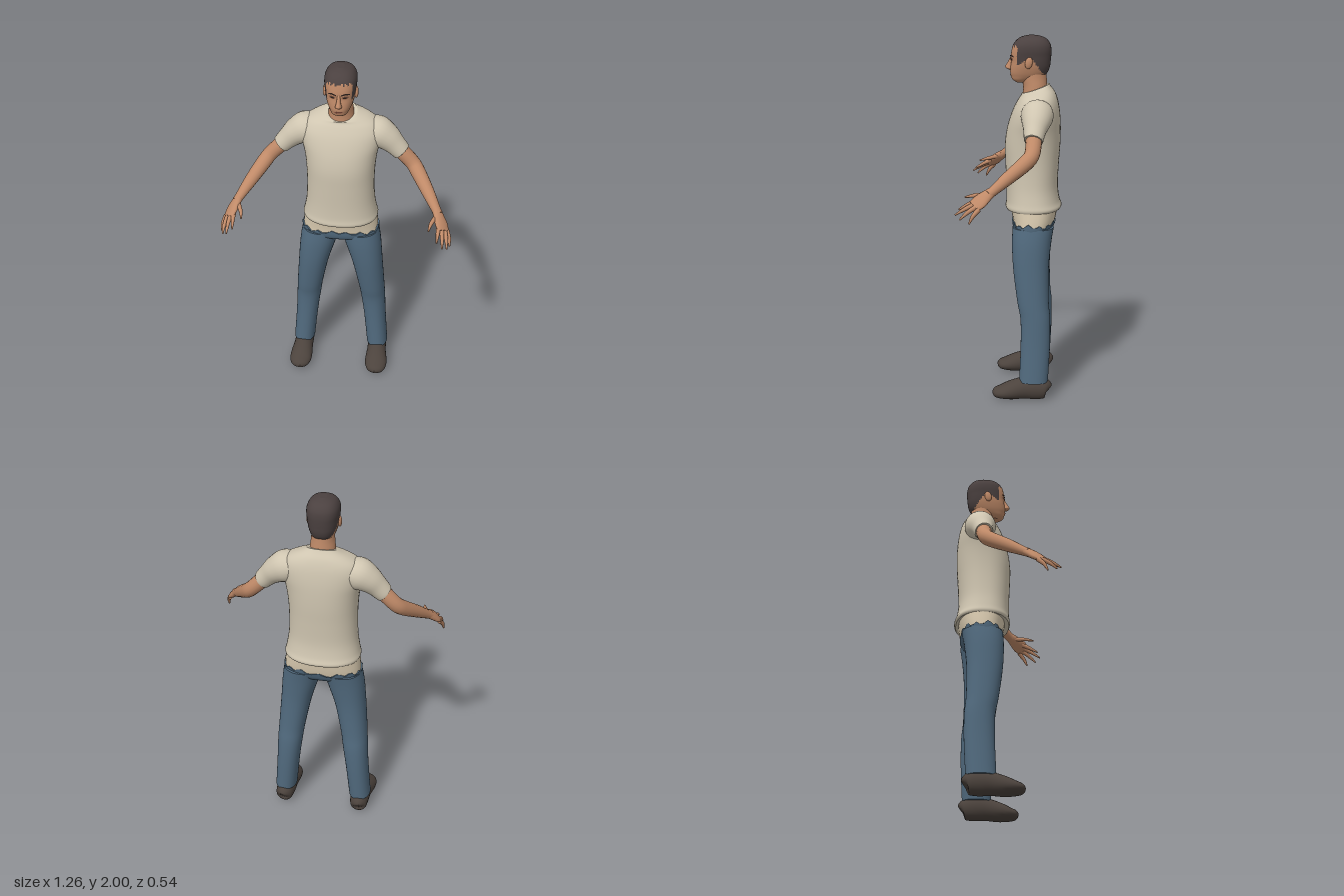
import * as THREE from 'three';

const mat = (name, color) => Object.assign(new THREE.MeshStandardMaterial({ color }), { name });

// Catmull-Rom subdivision of rows of numbers
function refine(rows, k) {
  const out = [];
  const at = i => rows[Math.min(rows.length - 1, Math.max(0, i))];
  for (let i = 0; i < rows.length - 1; i++)
    for (let s = 0; s < k; s++) {
      const t = s / k;
      out.push(at(i).map((b, c) => {
        const a = at(i - 1)[c], d = at(i + 1)[c], e = at(i + 2)[c];
        return b + 0.5 * t * (d - a + t * (2 * a - 5 * b + 4 * d - e + t * (3 * (b - d) + e - a)));
      }));
    }
  out.push(rows[rows.length - 1]);
  return out;
}

// Skin a list of closed rings; pick(centre) chooses a material slot per quad
function skin(rings, pick) {
  const n = rings[0].length, pos = [], slots = [[], []];
  rings.forEach(r => r.forEach(p => pos.push(p.x, p.y, p.z)));
  for (let i = 0; i < rings.length - 1; i++)
    for (let j = 0; j < n; j++) {
      const k = (j + 1) % n, a = i * n + j, b = i * n + k, c = b + n, d = a + n;
      const mid = rings[i][j].clone().add(rings[i + 1][k]).multiplyScalar(0.5);
      slots[pick ? pick(mid, j) : 0].push(a, b, c, a, c, d);
    }
  [rings[0], rings[rings.length - 1]].forEach((r, end) => {
    const base = pos.length / 3, m = new THREE.Vector3();
    r.forEach(p => { pos.push(p.x, p.y, p.z); m.addScaledVector(p, 1 / n); });
    pos.push(m.x, m.y, m.z);
    const list = slots[pick ? pick(m, 0) : 0];
    for (let j = 0; j < n; j++) {
      const k = (j + 1) % n;
      if (end) list.push(base + n, base + j, base + k);
      else list.push(base + n, base + k, base + j);
    }
  });
  const g = new THREE.BufferGeometry();
  g.setAttribute('position', new THREE.Float32BufferAttribute(pos, 3));
  g.setIndex([...slots[0], ...slots[1]]);
  if (pick) {
    g.addGroup(0, slots[0].length, 0);
    g.addGroup(slots[0].length, slots[1].length, 1);
  }
  g.computeVertexNormals();
  return g;
}

const pw = (v, e) => Math.sign(v) * Math.abs(v) ** (2 / e);

// Upright loft; rows are [y, centre x, front z, back z, half width, front dip]
function stack(rows, { n = 36, e = 2, k = 4, jag, pick } = {}) {
  const fine = refine(rows, k);
  return skin(fine.map(([y, cx, f, b, w, dip = 0], i) => Array.from({ length: n }, (_, j) => {
    const a = j / n * Math.PI * 2, c = pw(Math.cos(a), e);
    const lift = jag && i === fine.length - 1 ? jag(j) : 0;
    return new THREE.Vector3(cx + w * pw(Math.sin(a), e), y - dip * c + lift, (f + b) / 2 + (f - b) / 2 * c);
  })), pick);
}

// Limb along a path; rows are [x, y, z, radius across, radius along ref]
function limb(rows, ref, n = 16, k = 4) {
  const fine = refine(rows, k), P = fine.map(r => new THREE.Vector3(r[0], r[1], r[2]));
  return skin(fine.map((r, i) => {
    const t = P[Math.min(i + 1, P.length - 1)].clone().sub(P[Math.max(i - 1, 0)]).normalize();
    const v = new THREE.Vector3(...ref).addScaledVector(t, -t.dot(new THREE.Vector3(...ref))).normalize();
    const u = t.clone().cross(v);
    return Array.from({ length: n }, (_, j) => {
      const a = j / n * Math.PI * 2;
      return P[i].clone().addScaledVector(u, r[3] * Math.sin(a)).addScaledVector(v, r[4] * Math.cos(a));
    });
  }));
}

function mirrored(g) {
  const m = g.clone().scale(-1, 1, 1), ix = m.index.array;
  for (let i = 0; i < ix.length; i += 3) [ix[i], ix[i + 1]] = [ix[i + 1], ix[i]];
  m.computeVertexNormals();
  return m;
}

export function createModel() {
  const root = new THREE.Group();
  root.name = 'standingMan';
  const skinTone = mat('skin', 0xc08a68), hair = mat('hair', 0x4b4140), shirt = mat('shirt', 0xd0c6b1);
  const under = mat('undershirt', 0xdccdb2), denim = mat('denim', 0x516a7e), leather = mat('shoeLeather', 0x4c433d);
  const dark = mat('browAndEye', 0x2b1f1b), lip = mat('lip', 0x7d4a3b), lid = mat('eyelid', 0x8c5f48);
  const add = (name, g, m) => {
    const mesh = new THREE.Mesh(g, m);
    mesh.name = name;
    root.add(mesh);
  };
  const pair = (name, g, m) => { add(name + 'Left', g, m); add(name + 'Right', mirrored(g), m); };

  // Head with short hair, divided along a ragged hairline
  const headRows = [
    [1.745, 0, -0.02, -0.08, 0.028], [1.76, 0, 0.004, -0.11, 0.044], [1.78, 0, 0.012, -0.165, 0.057],
    [1.8, 0, 0.016, -0.188, 0.066], [1.83, 0, 0.014, -0.2, 0.075], [1.86, 0, 0.01, -0.204, 0.08],
    [1.89, 0, 0.012, -0.207, 0.083], [1.92, 0, 0.008, -0.208, 0.086], [1.95, 0, 0, -0.203, 0.083],
    [1.975, 0, -0.02, -0.187, 0.07], [1.99, 0, -0.042, -0.165, 0.05], [2, 0, -0.075, -0.13, 0.018]];
  const isHair = (p, j) => {
    const line = p.z > -0.025 ? 1.943 + 0.008 * Math.sin(j * 2.3)
      : p.z > -0.1 ? 1.835 - 0.55 * (p.z + 0.01)
        : Math.max(1.885 + 1.35 * (p.z + 0.1), 1.782);
    return p.y > line ? 1 : 0;
  };
  add('head', stack(headRows, { n: 64, e: 2.4, pick: isHair }), [skinTone, hair]);
  add('neck', stack([[1.64, 0, -0.05, -0.19, 0.075], [1.72, 0, -0.055, -0.187, 0.068],
    [1.77, 0, -0.045, -0.183, 0.062], [1.82, 0, -0.05, -0.18, 0.06]]), skinTone);
  add('nose', stack([[1.812, 0, 0.022, 0, 0.01], [1.822, 0, 0.04, 0, 0.018], [1.833, 0, 0.043, 0, 0.015],
    [1.855, 0, 0.029, 0, 0.01], [1.885, 0, 0.014, 0, 0.008]], { n: 16 }), skinTone);
  const ear = new THREE.SphereGeometry(1, 16, 12).scale(0.011, 0.032, 0.02).rotateX(-0.2).translate(0.083, 1.857, -0.088);
  pair('ear', ear, skinTone);

  // Facial details as thin faces laid on the curve of the head
  const fine = refine(headRows, 4);
  const faceZ = (x, y) => {
    const r = fine.reduce((a, b) => Math.abs(b[0] - y) < Math.abs(a[0] - y) ? b : a);
    return (r[2] + r[3]) / 2 + (r[2] - r[3]) / 2 * (1 - Math.abs(x / r[4]) ** 2.4) ** (1 / 2.4);
  };
  const patch = (pts, lift) => {
    const g = new THREE.ShapeGeometry(new THREE.Shape(pts.map(p => new THREE.Vector2(...p))));
    const p = g.attributes.position;
    for (let i = 0; i < p.count; i++) p.setZ(i, faceZ(p.getX(i), p.getY(i)) + lift);
    g.computeVertexNormals();
    return g;
  };
  const oval = (cx, cy, a, b) => Array.from({ length: 12 }, (_, i) =>
    [cx + a * Math.cos(i * Math.PI / 6), cy + b * Math.sin(i * Math.PI / 6)]);
  pair('eyelid', patch(oval(0.034, 1.873, 0.018, 0.01), 0.003), lid);
  pair('eye', patch(oval(0.034, 1.873, 0.012, 0.005), 0.005), dark);
  pair('eyebrow', patch([[0.013, 1.884], [0.035, 1.889], [0.058, 1.884], [0.056, 1.891], [0.036, 1.898], [0.014, 1.892]], 0.004), dark);
  add('mouth', patch([[-0.027, 1.786], [-0.012, 1.781], [0, 1.78], [0.012, 1.781], [0.027, 1.786], [0.01, 1.793], [0, 1.791], [-0.01, 1.793]], 0.003), lip);

  // T-shirt body, hem and sleeves
  add('shirtBody', stack([
    [1.05, 0, 0.036, -0.262, 0.205], [1.065, 0, 0.042, -0.27, 0.21], [1.1, 0, 0.037, -0.258, 0.202],
    [1.18, 0, 0.037, -0.248, 0.19], [1.3, 0, 0.042, -0.253, 0.186], [1.4, 0, 0.045, -0.26, 0.19],
    [1.48, 0, 0.036, -0.262, 0.2], [1.55, 0, 0.018, -0.26, 0.217, 0], [1.61, 0, -0.005, -0.253, 0.222, 0],
    [1.655, 0, -0.03, -0.243, 0.2, 0], [1.685, 0, -0.045, -0.228, 0.155, 0.008],
    [1.703, 0, -0.047, -0.208, 0.11, 0.018], [1.712, 0, -0.05, -0.197, 0.085, 0.026]]
    .map(r => [...r, 0].slice(0, 6)), { n: 48, e: 2.25 }), shirt);
  pair('sleeve', limb([[0.12, 1.605, -0.14, 0.06, 0.075], [0.19, 1.59, -0.138, 0.088, 0.088],
    [0.245, 1.56, -0.134, 0.075, 0.077], [0.29, 1.52, -0.128, 0.06, 0.06],
    [0.325, 1.483, -0.124, 0.052, 0.052], [0.332, 1.476, -0.123, 0.05, 0.049]], [0, 0, 1], 24), shirt);

  // Undershirt band and ragged-edged top of the jeans
  add('undershirtBand', stack([[0.95, 0, -0.004, -0.225, 0.213], [1, 0, 0.002, -0.238, 0.21],
    [1.07, 0, 0.015, -0.25, 0.203]], { e: 2.4 }), under);
  add('jeansSeat', stack([[0.915, 0, -0.03, -0.2, 0.19], [0.94, 0, -0.004, -0.222, 0.215], [0.978, 0, 0.005, -0.237, 0.219]],
    { n: 48, e: 2.4, jag: j => 0.011 * Math.sin(j * 1.9) + 0.006 * Math.sin(j * 0.7) }), denim);

  // Jeans legs
  pair('trouserLeg', stack([
    [0.1, 0.282, 0.16, -0.045, -0.205], [0.3, 0.268, 0.14, -0.052, -0.215], [0.45, 0.261, 0.12, -0.05, -0.215],
    [0.55, 0.255, 0.105, -0.032, -0.206], [0.73, 0.242, 0.068, -0.008, -0.204], [0.87, 0.231, 0.026, 0, -0.216],
    [0.96, 0.217, 0.002, -0.003, -0.23]]
    .map(([y, o, i, f, b]) => [y, (o + i) / 2, f, b, (o - i) / 2]), { e: 2.2 }), denim);

  // Shoes, flattened underneath
  const shoe = limb([[0.225, 0.05, -0.207, 0.02, 0.025], [0.224, 0.055, -0.195, 0.045, 0.055],
    [0.222, 0.06, -0.14, 0.054, 0.068], [0.223, 0.058, -0.07, 0.056, 0.062], [0.226, 0.045, 0, 0.064, 0.052],
    [0.228, 0.036, 0.05, 0.062, 0.038], [0.226, 0.032, 0.088, 0.044, 0.026], [0.225, 0.03, 0.103, 0.014, 0.01]], [0, 1, 0], 24);
  const sp = shoe.attributes.position;
  for (let i = 0; i < sp.count; i++) sp.setY(i, Math.max(sp.getY(i), sp.getZ(i) > 0.05 ? (sp.getZ(i) - 0.05) * 0.25 : 0));
  shoe.computeVertexNormals();
  pair('shoe', shoe, leather);

  // Bare arms, palms and fingers
  pair('arm', limb([[0.27, 1.535, -0.13, 0.042, 0.042], [0.33, 1.477, -0.125, 0.043, 0.043],
    [0.39, 1.415, -0.118, 0.041, 0.041], [0.425, 1.375, -0.085, 0.041, 0.041],
    [0.485, 1.31, 0, 0.035, 0.035], [0.535, 1.252, 0.075, 0.025, 0.027], [0.55, 1.235, 0.1, 0.024, 0.028]], [-0.6, 0.3, 0.7]), skinTone);
  const across = [-0.7, 0.45, 0.55];
  pair('palm', limb([[0.54, 1.247, 0.085, 0.022, 0.027], [0.558, 1.222, 0.118, 0.021, 0.038],
    [0.572, 1.2, 0.145, 0.018, 0.045], [0.583, 1.18, 0.172, 0.012, 0.04]], across), skinTone);
  const fingers = {
    thumb: [[0.54, 1.232, 0.115], [0.515, 1.222, 0.175], [0.505, 1.21, 0.225]],
    indexFinger: [[0.555, 1.203, 0.16], [0.555, 1.183, 0.205], [0.552, 1.155, 0.253]],
    middleFinger: [[0.572, 1.19, 0.165], [0.58, 1.165, 0.218], [0.583, 1.133, 0.27]],
    ringFinger: [[0.59, 1.178, 0.16], [0.602, 1.15, 0.205], [0.608, 1.113, 0.245]],
    littleFinger: [[0.602, 1.168, 0.145], [0.617, 1.135, 0.175], [0.622, 1.095, 0.195]]
  };
  for (const [name, [a, b, c]] of Object.entries(fingers))
    pair(name, limb([[...a, 0.013, 0.013], [...b, 0.0105, 0.0105], [...c, 0.004, 0.004]], across, 10), skinTone);

  return root;
}
